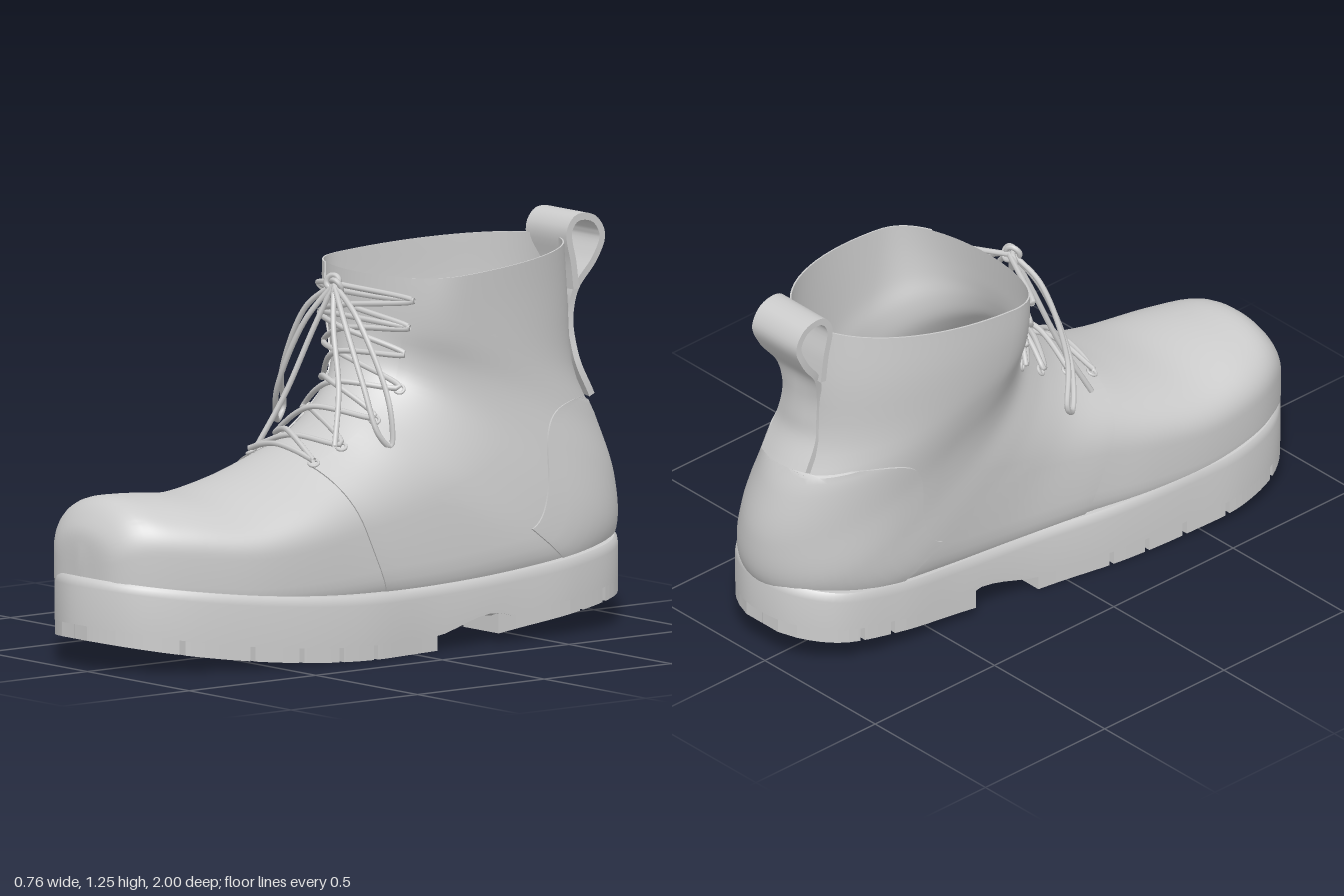
import * as THREE from 'three';
import { toCreasedNormals } from 'three/addons/utils/BufferGeometryUtils.js';

const material = new THREE.MeshStandardMaterial({ color: 0xcccccc, side: THREE.DoubleSide });
const V = (x, y, z) => new THREE.Vector3(x, y, z);
const { smoothstep, lerp, clamp } = THREE.MathUtils;

function addMesh(group, name, geometry) {
  const mesh = new THREE.Mesh(geometry, material);
  mesh.name = name;
  group.add(mesh);
  return mesh;
}

// Skin a list of rings (arrays of Vector3 of equal length)
function loft(rings, closed = true, crease = 0.8) {
  const n = rings[0].length, index = [];
  for (let i = 0; i < rings.length - 1; i++) {
    for (let j = 0; j < (closed ? n : n - 1); j++) {
      const a = i * n + j, b = i * n + (j + 1) % n;
      index.push(a, b, b + n, a, b + n, a + n);
    }
  }
  const geometry = new THREE.BufferGeometry().setFromPoints(rings.flat());
  geometry.setIndex(index);
  return toCreasedNormals(geometry, crease);
}

// Fan of upper sections from toe to collar:
// front z, front y, back z, back y, front centre x, back centre x, half width
const sections = [
  [0.965, 0.37, 0.965, 0.22, -0.08, -0.08, 0.03],
  [0.95, 0.44, 0.95, 0.2, -0.08, -0.08, 0.14],
  [0.88, 0.515, 0.88, 0.17, -0.075, -0.075, 0.22],
  [0.75, 0.52, 0.75, 0.15, -0.065, -0.065, 0.285],
  [0.55, 0.51, 0.55, 0.13, -0.035, -0.035, 0.33],
  [0.38, 0.55, 0.3, 0.12, -0.01, 0, 0.335],
  [0.25, 0.605, 0.05, 0.12, 0, 0.03, 0.315],
  [0.15, 0.66, -0.25, 0.12, 0.01, 0.045, 0.295],
  [0.08, 0.715, -0.55, 0.14, 0.005, 0.05, 0.288],
  [0.03, 0.76, -0.8, 0.17, -0.01, 0.05, 0.282],
  [-0.02, 0.81, -0.96, 0.25, -0.025, 0.05, 0.275],
  [-0.06, 0.86, -0.99, 0.42, -0.045, 0.035, 0.272],
  [-0.085, 0.92, -0.95, 0.6, -0.055, 0, 0.28],
  [-0.1, 0.98, -0.875, 0.78, -0.055, -0.025, 0.295],
  [-0.11, 1.05, -0.865, 1.0, -0.055, -0.04, 0.305],
  [-0.12, 1.13, -0.85, 1.18, -0.055, -0.04, 0.31],
];
const LAST = sections.length - 1;

function sectionAt(k) {
  const i = clamp(Math.floor(k), 0, LAST - 1), t = k - i;
  const row = (j) => sections[clamp(j, 0, LAST)];
  return row(i).map((p1, c) => {
    const p0 = row(i - 1)[c], p2 = row(i + 1)[c], p3 = row(i + 2)[c];
    return p1 + 0.5 * t * (p2 - p0 + t * (2 * p0 - 5 * p1 + 4 * p2 - p3 + t * (3 * (p1 - p2) + p3 - p0)));
  });
}

// Point on the upper: k runs toe to collar, a runs round the section from its front
function upperPoint(k, a) {
  const [fz, fy, bz, by, cf, cb, w] = sectionAt(k);
  const c = Math.cos(a);
  // Widest place moves forward and the front flattens towards the collar
  const m = lerp(0.45, 0.28, smoothstep(k, 10, 15));
  const t = c > 0
    ? m - m * c ** lerp(0.85, 0.65, smoothstep(k, 9, 14))
    : m + (1 - m) * (-c) ** lerp(0.3, 0.95, smoothstep(k, 8.5, 12));
  return V(lerp(cf, cb, t) + w * Math.sin(a), lerp(fy, by, t), lerp(fz, bz, t));
}

function offsetPoint(k, a, off) {
  const d = 0.02, p = upperPoint(k, a);
  const k1 = Math.min(k + d, LAST);
  const da = upperPoint(k, a + d).sub(upperPoint(k, a - d));
  const n = da.cross(upperPoint(k1, a).sub(upperPoint(k1 - 2 * d, a))).normalize();
  const s = sectionAt(k);
  const out = p.clone().sub(V(s[4], (s[1] + s[3]) / 2, (s[0] + s[2]) / 2));
  return p.addScaledVector(n, n.dot(out) < 0 ? -off : off);
}

// Raised leather panel lying on the upper, with its rim brought down to it
function panel(k0, k1, range, off, nk = 32, na = 28) {
  const steps = (n) => [0, ...Array.from({ length: n + 1 }, (_, i) => i / n), 1];
  const us = steps(nk), vs = steps(na);
  return loft(us.map((u, i) => vs.map((v, j) => {
    const k = lerp(k0, k1, u), [a0, a1] = range(k);
    const rim = i === 0 || j === 0 || i === us.length - 1 || j === vs.length - 1;
    return offsetPoint(k, lerp(a0, a1, v), rim ? 0.001 : off);
  })), false, 0.7);
}

// Sole outline as x, z pairs
const outline = new THREE.CatmullRomCurve3([
  [-0.08, 1], [0.1, 0.94], [0.22, 0.8], [0.33, 0.5], [0.375, 0.2], [0.35, -0.1], [0.345, -0.4],
  [0.345, -0.65], [0.28, -0.86], [0.15, -0.96], [0.04, -0.98], [-0.08, -0.955], [-0.19, -0.86],
  [-0.24, -0.65], [-0.25, -0.4], [-0.27, -0.1], [-0.325, 0.2], [-0.36, 0.45], [-0.38, 0.65],
  [-0.335, 0.83], [-0.22, 0.95],
].map(([x, z]) => V(x, 0, z)), true).getPoints(140).slice(0, -1);

const soleTop = (z) => 0.2 + 0.09 * z * z;
const soleBottom = (z) => z > 0.1 ? 0.095 * ((z - 0.1) / 0.9) ** 2 : 0.105 * Math.max(0, (-0.1 - z) / 0.87);

// Left and right edge of the sole at a given z
function soleEdges(z) {
  const xs = [];
  outline.forEach((p, i) => {
    const q = outline[(i + 1) % outline.length];
    if ((p.z - z) * (q.z - z) <= 0 && p.z !== q.z) xs.push(lerp(p.x, q.x, (z - p.z) / (q.z - p.z)));
  });
  return [Math.min(...xs) + 0.001, Math.max(...xs) - 0.001];
}

// Tread block from a plan polygon of x, z pairs
function lug(points) {
  const shape = new THREE.Shape(points.map(([x, z]) => new THREE.Vector2(x, -z)));
  const g = new THREE.ExtrudeGeometry(shape, { depth: 0.07, bevelEnabled: false });
  g.rotateX(-Math.PI / 2);
  const p = g.attributes.position;
  for (let i = 0; i < p.count; i++) p.setY(i, p.getY(i) + soleBottom(p.getZ(i)));
  g.computeVertexNormals();
  return g;
}

function cord(points, segments = 80) {
  return new THREE.TubeGeometry(new THREE.CatmullRomCurve3(points), segments, 0.009, 7);
}

export function createModel() {
  const boot = new THREE.Group();
  boot.name = 'boot';

  // Upper with open collar
  const rings = [];
  for (let i = 0; i <= LAST * 5; i++) {
    rings.push(Array.from({ length: 96 }, (_, j) => upperPoint(i / 5, j / 96 * Math.PI * 2)));
  }
  rings.unshift(rings[0].map(() => V(-0.08, 0.3, 0.967)));
  addMesh(boot, 'upper', loft(rings, true, 1.2));

  // Side quarters either side of the tongue, and heel counter
  for (const s of [-1, 1]) {
    addMesh(boot, 'quarter', panel(6, LAST, (k) => [s * lerp(0.5, 0.75, (k - 6) / 9), s * Math.PI], 0.006));
  }
  addMesh(boot, 'heelCounter', panel(8.7, 12.45, (k) => {
    const h = 0.1 + 1.4 * Math.cbrt(1 - ((k - 8.7) / 3.75) ** 3);
    return [Math.PI - h, Math.PI + h];
  }, 0.012));

  // Midsole: scale about the middle, height by rule, raised under the arch
  const soleRing = (scale, inset, height) => outline.map((p) => {
    const r = Math.hypot(p.x, p.z), f = scale * (1 - inset / r);
    const x = p.x * f, z = p.z * f;
    return V(x, height(z), z);
  });
  const under = (z) => soleBottom(z) + 0.045 + 0.025 * smoothstep(-z, 0.1, 0.3) * (1 - smoothstep(-z, 0.33, 0.4));
  addMesh(boot, 'midsole', loft([
    ...[0.001, 0.35, 0.7].map((s) => soleRing(s, 0, under)),
    soleRing(1, 0, under),
    soleRing(1, 0, (z) => soleTop(z) - 0.03),
    soleRing(1, 0.004, (z) => soleTop(z) - 0.01),
    soleRing(1, 0.014, soleTop),
    ...[0.85, 0.6, 0.3, 0.001].map((s) => soleRing(s, 0, soleTop)),
  ]));

  // Heel pad inside the boot
  const pad = addMesh(boot, 'heelPad', new THREE.CylinderGeometry(1, 1, 0.02, 48));
  pad.scale.set(0.165, 1, 0.32);
  pad.position.set(0.03, 0.222, -0.25);

  // Tread: edge blocks with narrow notches between them, chevrons down the middle
  for (const bands of [[-0.11, 0.16, 0.29, 0.43, 0.59, 0.8, 0.998], [-0.98, -0.79, -0.68, -0.34]]) {
    for (let i = 0; i < bands.length - 1; i++) {
      const z0 = bands[i] + 0.008, z1 = bands[i + 1] - 0.008;
      for (const side of [0, 1]) {
        const outer = Array.from({ length: 13 }, (_, j) => {
          const z = lerp(z0, z1, Math.sin(j / 12 * Math.PI / 2));
          return [soleEdges(z)[side], z];
        });
        const inner = [z1, z0].map((z) => {
          const e = soleEdges(z), tip = Math.abs(z) > 0.95;
          return [lerp((e[0] + e[1]) / 2, e[side], tip ? 0.01 : 0.42), z];
        });
        addMesh(boot, 'edgeLug', lug([...outer, ...inner]));
      }
    }
  }
  for (const z of [-0.9, -0.7, -0.51, -0.1, 0.1, 0.3, 0.5, 0.7]) {
    const e = soleEdges(z), c = (e[0] + e[1]) / 2, w = (e[1] - e[0]) * 0.19;
    addMesh(boot, 'chevronLug', lug([
      [c - w, z], [c, z + 0.05], [c + w, z], [c + w, z + 0.14], [c, z + 0.19], [c - w, z + 0.14],
    ]));
  }

  // Pull tab: a folded strap, loop on top and tail curving round the heel (z, y)
  const strap = new THREE.CatmullRomCurve3([
    [-0.875, 1.02], [-0.865, 1.1], [-0.848, 1.2], [-0.88, 1.24], [-0.945, 1.232], [-0.978, 1.18],
    [-0.95, 1.11], [-0.893, 1.03], [-0.882, 0.95], [-0.884, 0.86], [-0.89, 0.79], [-0.935, 0.69],
  ].map(([z, y]) => V(0, y, z)));
  const across = [-1, -0.5, 0, 0.5, 1];
  const strapSection = [...across.map((s) => [s, -1]), ...across.map((s) => [-s, 1])];
  addMesh(boot, 'pullTab', loft(Array.from({ length: 61 }, (_, i) => {
    const t = i / 60, p = strap.getPoint(t), d = strap.getTangent(t);
    const w = 0.1 - 0.022 * Math.sin(Math.PI * smoothstep(t, 0.5, 1)), x = lerp(-0.03, 0, smoothstep(t, 0.6, 1));
    const bend = 0.022 * smoothstep(t, 0.58, 0.8);
    return strapSection.map(([sx, sn]) =>
      V(x + sx * w, p.y + sn * 0.011 * d.z, p.z - sn * 0.011 * d.y + bend * sx * sx));
  })));

  // Laces: two mirrored zigzags
  const rows = [6.1, 7, 8.6, 10.4, 12, 13.2, 14.2];
  const reach = (k) => lerp(0.5, 0.86, (k - 6) / 9);
  for (const s of [-1, 1]) {
    const path = [];
    rows.forEach((k, i) => {
      const side = i % 2 ? -s : s;
      path.push(offsetPoint(k, side * reach(k), 0.02));
      if (i < rows.length - 1) path.push(offsetPoint((k + rows[i + 1]) / 2, 0, 0.04 + s * 0.009));
    });
    path.push(V(-0.07, 1.1, -0.04));
    addMesh(boot, 'lace', cord(path, 200));
    // Eyelets on the lower rows
    for (const k of rows.slice(0, 4)) {
      const a = s * reach(k), eyelet = addMesh(boot, 'eyelet', new THREE.TorusGeometry(0.015, 0.005, 8, 16));
      eyelet.position.copy(offsetPoint(k, a, 0.008));
      eyelet.lookAt(offsetPoint(k, a, 1));
    }
  }
  // Straight runs at the lowest and upper rows
  for (const k of [6.1, 13.2, 14.2]) {
    addMesh(boot, 'laceBar', cord([-1, -0.5, 0, 0.5, 1].map((f) =>
      offsetPoint(k, f * reach(k), 0.03 - 0.012 * Math.abs(f))), 40));
  }

  // Bow: knot, two hanging loops and two free ends
  const knot = addMesh(boot, 'bowKnot', new THREE.TorusKnotGeometry(0.022, 0.009, 64, 7));
  knot.position.set(-0.07, 1.095, -0.03);
  const start = V(-0.07, 1.1, -0.03);
  addMesh(boot, 'bowLoop', cord([start, V(-0.17, 1.02, 0), V(-0.29, 0.8, 0), V(-0.355, 0.68, -0.06),
    V(-0.335, 0.645, -0.02), V(-0.25, 0.76, 0.05), V(-0.14, 0.98, 0.03), start]));
  addMesh(boot, 'bowLoop', cord([start, V(0.02, 1.02, 0.01), V(0.16, 0.82, 0.04), V(0.225, 0.67, 0.03),
    V(0.235, 0.63, -0.01), V(0.215, 0.76, -0.02), V(0.07, 1.01, -0.01), start]));
  addMesh(boot, 'laceEnd', cord([start, V(-0.11, 0.96, 0.02), V(-0.16, 0.76, 0.09), V(-0.215, 0.58, 0.17)]));
  addMesh(boot, 'laceEnd', cord([start, V(-0.01, 0.98, 0.02), V(0.09, 0.8, 0.08), V(0.17, 0.64, 0.16)]));
  return boot;
}
